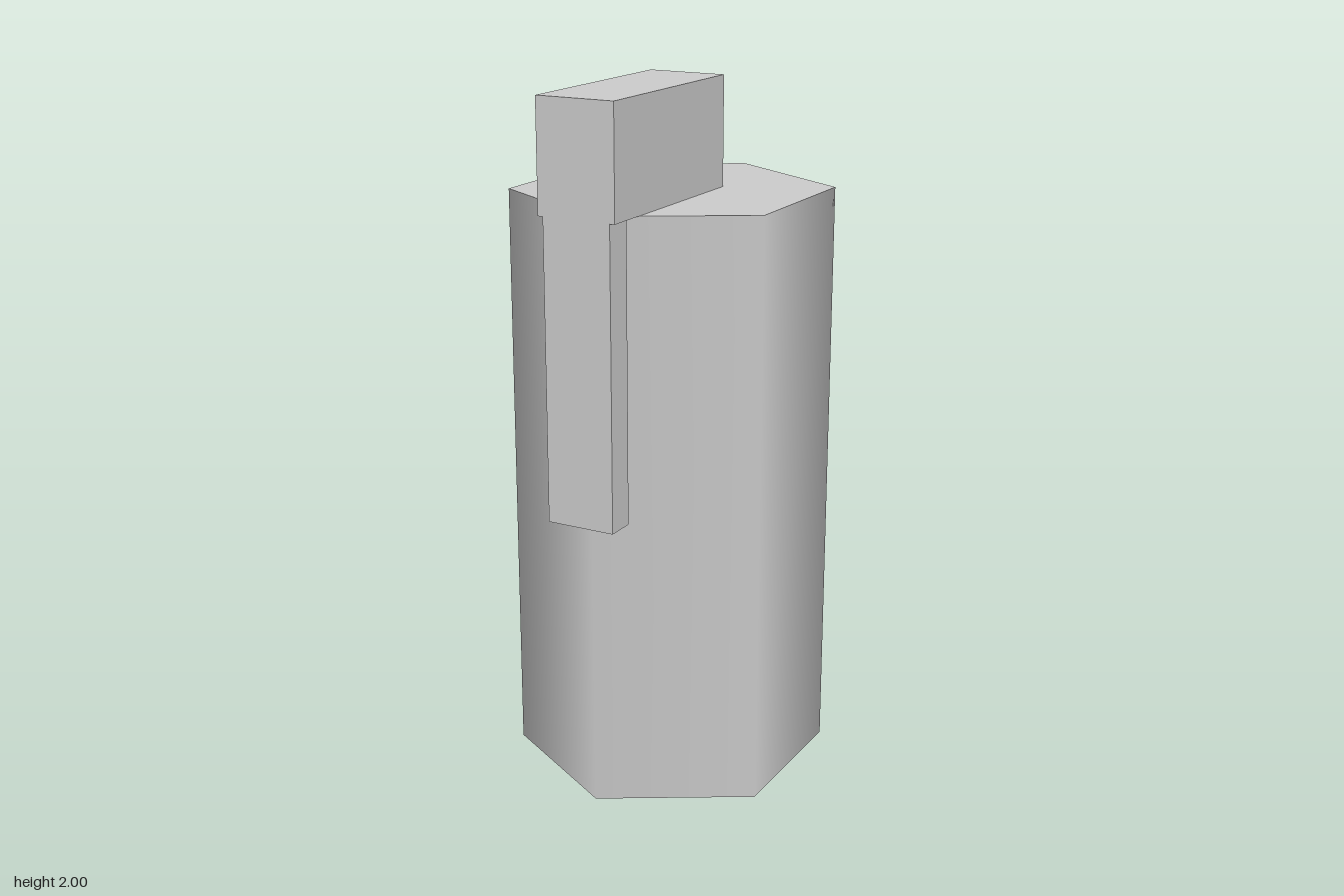
import * as THREE from 'three';

export function createModel() {
  const model = new THREE.Group();
  const grey = new THREE.MeshStandardMaterial({ color: 0xcccccc });
  grey.name = 'light grey';

  const add = (name, geometry, x, y, z) => {
    const mesh = new THREE.Mesh(geometry, grey);
    mesh.name = name;
    mesh.position.set(x, y, z);
    model.add(mesh);
  };

  // Six-sided body with smooth side normals
  add('body', new THREE.CylinderGeometry(0.455, 0.455, 1.69, 6), 0, 0.845, -0.03);

  // Block on the lid, overhanging the front
  add('topBlock', new THREE.BoxGeometry(0.23, 0.31, 0.6), 0, 1.845, 0.185);

  // Lever hanging down from the block
  add('lever', new THREE.BoxGeometry(0.2, 0.84, 0.085), 0, 1.27, 0.4425);

  return model;
}
